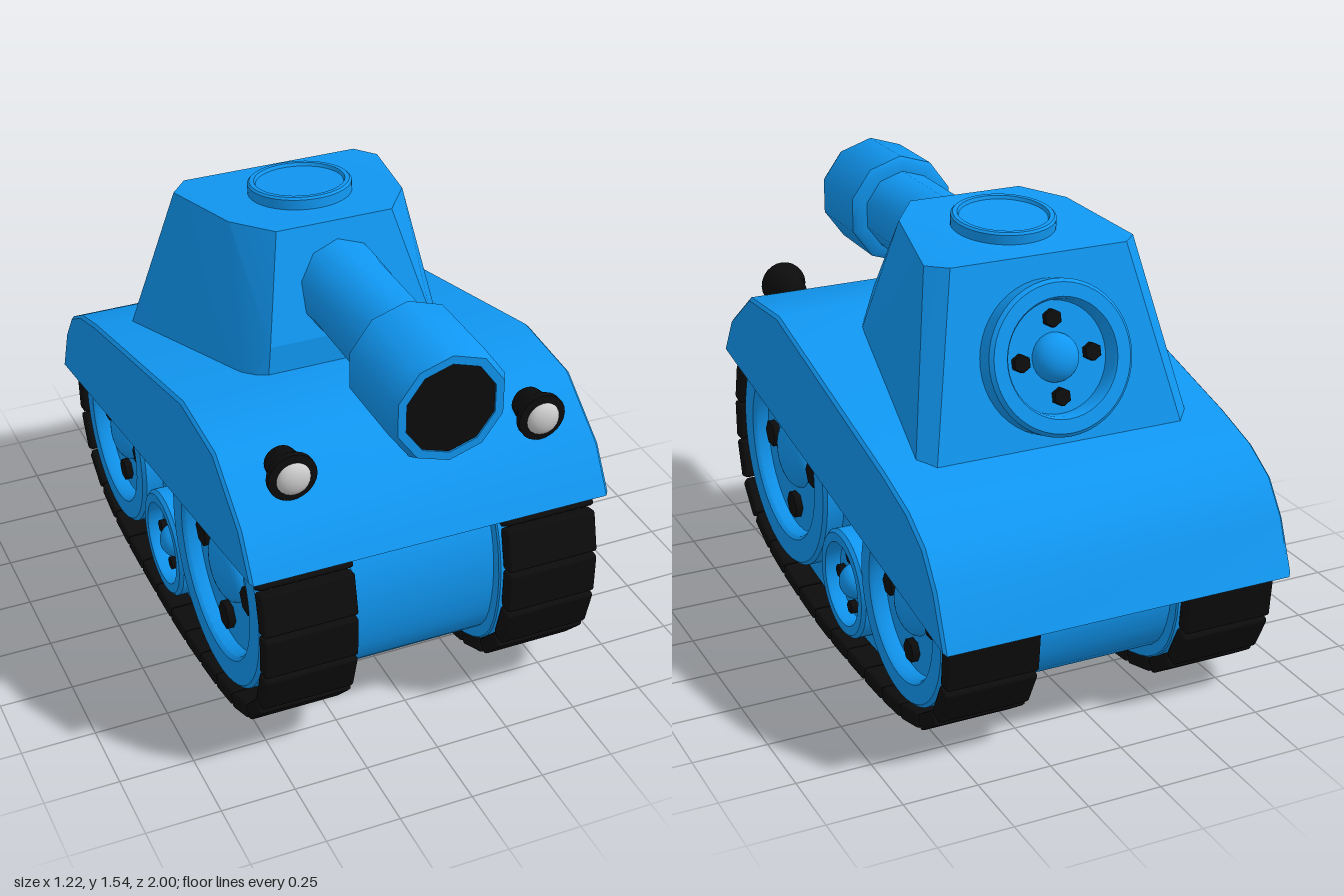
import * as THREE from 'three';
import { toCreasedNormals } from 'three/addons/utils/BufferGeometryUtils.js';
import { ConvexGeometry } from 'three/addons/geometries/ConvexGeometry.js';
import { RoundedBoxGeometry } from 'three/addons/geometries/RoundedBoxGeometry.js';

const blue = new THREE.MeshStandardMaterial({ color: 0x1097f2 });
const black = new THREE.MeshStandardMaterial({ color: 0x0c0c0c });
const grey = new THREE.MeshStandardMaterial({ color: 0xcccccc });

function add(parent, name, geometry, material, x = 0, y = 0, z = 0) {
  const mesh = new THREE.Mesh(geometry, material);
  mesh.name = name;
  mesh.position.set(x, y, z);
  parent.add(mesh);
  return mesh;
}

// Side profile of [z, y] points, extruded across x and centred
function slab(points, width, bevel = 0.01) {
  const shape = new THREE.Shape(points.map(([z, y]) => new THREE.Vector2(z, y)));
  const geometry = new THREE.ExtrudeGeometry(shape, {
    depth: width - 2 * bevel, bevelEnabled: true, bevelSize: bevel,
    bevelThickness: bevel, bevelOffset: -bevel, bevelSegments: 1,
  });
  geometry.translate(0, 0, bevel - width / 2).rotateY(-Math.PI / 2);
  return toCreasedNormals(geometry, 0.6);
}

function lathe(points, segments, crease = 0.6) {
  const geometry = new THREE.LatheGeometry(points.map(([r, y]) => new THREE.Vector2(r, y)), segments);
  return toCreasedNormals(geometry, crease);
}

// Dished wheel with a domed hub and four bolts, facing +y
function wheel(name, r, h) {
  const group = new THREE.Group();
  group.name = name;
  const floor = h * 0.3;
  add(group, 'wheelRim', lathe([
    [r, -0.02], [r, h - 0.012], [r - 0.012, h], [r * 0.77, h],
    [r * 0.74, h - 0.012], [r * 0.72, floor], [0, floor],
  ], 48), blue);
  const dome = new THREE.SphereGeometry(r * 0.32, 24, 10, 0, Math.PI * 2, 0, Math.PI / 2);
  dome.scale(1, Math.min(1, h * 0.75 / (r * 0.32)), 1);
  add(group, 'hub', dome, blue, 0, floor, 0);
  for (let i = 0; i < 4; i++) {
    const a = i * Math.PI / 2;
    add(group, 'bolt', new THREE.CylinderGeometry(r * 0.12, r * 0.12, 0.03, 6), black,
      Math.cos(a) * r * 0.5, floor + 0.01, Math.sin(a) * r * 0.5);
  }
  return group;
}

// Centre line of the track as z, y
const trackPath = new THREE.CatmullRomCurve3([
  [0.88, 0.72], [0.915, 0.6], [0.92, 0.45], [0.885, 0.3], [0.81, 0.2], [0.69, 0.13],
  [0.51, 0.08], [0.31, 0.05], [0.1, 0.03], [-0.25, 0.028], [-0.45, 0.037], [-0.61, 0.06],
  [-0.76, 0.115], [-0.855, 0.2], [-0.905, 0.31], [-0.92, 0.42], [-0.87, 0.56],
  [-0.6, 0.64], [0, 0.76], [0.6, 0.86], [0.8, 0.83],
].map(([z, y]) => new THREE.Vector3(0, y, z)), true);

// Track outline moved inwards
function insetLoop(distance) {
  const points = [];
  for (let i = 0; i < 72; i++) {
    const p = trackPath.getPointAt(i / 72);
    const t = trackPath.getTangentAt(i / 72);
    points.push([p.z + t.y * distance, p.y - t.z * distance]);
  }
  return points;
}

export function createModel() {
  const model = new THREE.Group();
  model.name = 'toyTank';

  // Upper hull with sloping skirts
  add(model, 'upperHull', slab([
    [0.93, 0.785], [0.84, 0.93], [0.63, 1.08], [0.35, 1.1], [-0.55, 0.885],
    [-0.73, 0.83], [-0.85, 0.76], [-0.93, 0.65], [-1, 0.47],
  ], 1.22), blue);

  // Lower hull between the tracks
  add(model, 'lowerHull', slab(insetLoop(0.065), 0.52, 0.002), blue);

  // Tracks, side plates and road wheels
  const pads = 30;
  const length = trackPath.getLength() / pads;
  for (const side of [1, -1]) {
    const track = new THREE.Group();
    track.name = side > 0 ? 'leftTrack' : 'rightTrack';
    model.add(track);
    add(track, 'sidePlate', slab(insetLoop(0.024), 0.24, 0.005), blue, side * 0.37, 0, 0);
    for (let i = 0; i < pads; i++) {
      const p = trackPath.getPointAt((i + 0.5) / pads);
      const t = trackPath.getTangentAt((i + 0.5) / pads);
      const pad = add(track, 'trackPad', new RoundedBoxGeometry(0.315, 0.053, length - 0.008, 1, 0.01),
        black, side * 0.4175, p.y, p.z);
      pad.rotation.x = -Math.atan2(t.y, t.z);
    }
    for (const [name, z, y, r] of [
      ['frontWheel', 0.48, 0.53, 0.4], ['middleWheel', -0.055, 0.265, 0.19], ['rearWheel', -0.555, 0.415, 0.325],
    ]) {
      const w = wheel(name, r, 0.075);
      w.rotation.z = -side * Math.PI / 2;
      w.position.set(side * 0.487, y, z);
      track.add(w);
    }

    // Headlight: bell housing and lens
    const lamp = new THREE.Group();
    lamp.name = 'headlight';
    lamp.position.set(side * 0.42, 1.05, 0.68);
    lamp.rotation.x = Math.PI / 2;
    model.add(lamp);
    add(lamp, 'lampHousing', lathe([
      [0, -0.01], [0.035, 0], [0.052, 0.02], [0.06, 0.07], [0.08, 0.105], [0.08, 0.125], [0.055, 0.13], [0, 0.13],
    ], 24), black);
    const lens = new THREE.SphereGeometry(0.056, 24, 8, 0, Math.PI * 2, 0, Math.PI / 2);
    lens.scale(1, 0.6, 1);
    add(lamp, 'lampLens', lens, grey, 0, 0.127, 0);
  }

  // Faceted turret
  const corners = [];
  for (const [x, y, z] of [
    [0.3, 1, 0.3], [0.36, 1, 0.25], [0.49, 0.85, -0.53], [0.44, 0.85, -0.58],
    [0.28, 1.18, 0.285], [0.2, 1.51, 0.145], [0.305, 1.497, 0],
    [0.37, 1.455, -0.34], [0.31, 1.458, -0.405],
  ]) corners.push(new THREE.Vector3(x, y, z), new THREE.Vector3(-x, y, z));
  add(model, 'turret', toCreasedNormals(new ConvexGeometry(corners), 0.3), blue);

  // Roof hatch
  const hatch = add(model, 'hatch', lathe([
    [0.172, -0.05], [0.172, 0.028], [0.165, 0.035], [0.15, 0.035], [0.145, 0.024], [0, 0.024],
  ], 48), blue, 0, 1.488, -0.142);
  hatch.rotation.x = -0.1;

  // Spare wheel on the turret's back
  const spare = wheel('spareWheel', 0.25, 0.085);
  spare.position.set(0, 1.145, -0.49);
  spare.rotation.x = -1.285;
  model.add(spare);

  // Gun, ten-sided, pointing forwards
  const gun = new THREE.Group();
  gun.name = 'gun';
  gun.position.set(0, 1.305, 0);
  gun.rotation.x = Math.PI / 2;
  model.add(gun);
  add(gun, 'barrel', lathe([[0.15, 0.1], [0.15, 0.27], [0.145, 0.3], [0.145, 0.7]], 10, 0.8), blue);
  add(gun, 'muzzle', lathe([
    [0.13, 0.675], [0.18, 0.675], [0.197, 0.69], [0.197, 0.965], [0.18, 1], [0.152, 1], [0.148, 0.96],
  ], 10, 0.8), blue);
  add(gun, 'bore', new THREE.CylinderGeometry(0.152, 0.152, 0.03, 10), black, 0, 0.98, 0);

  return model;
}
